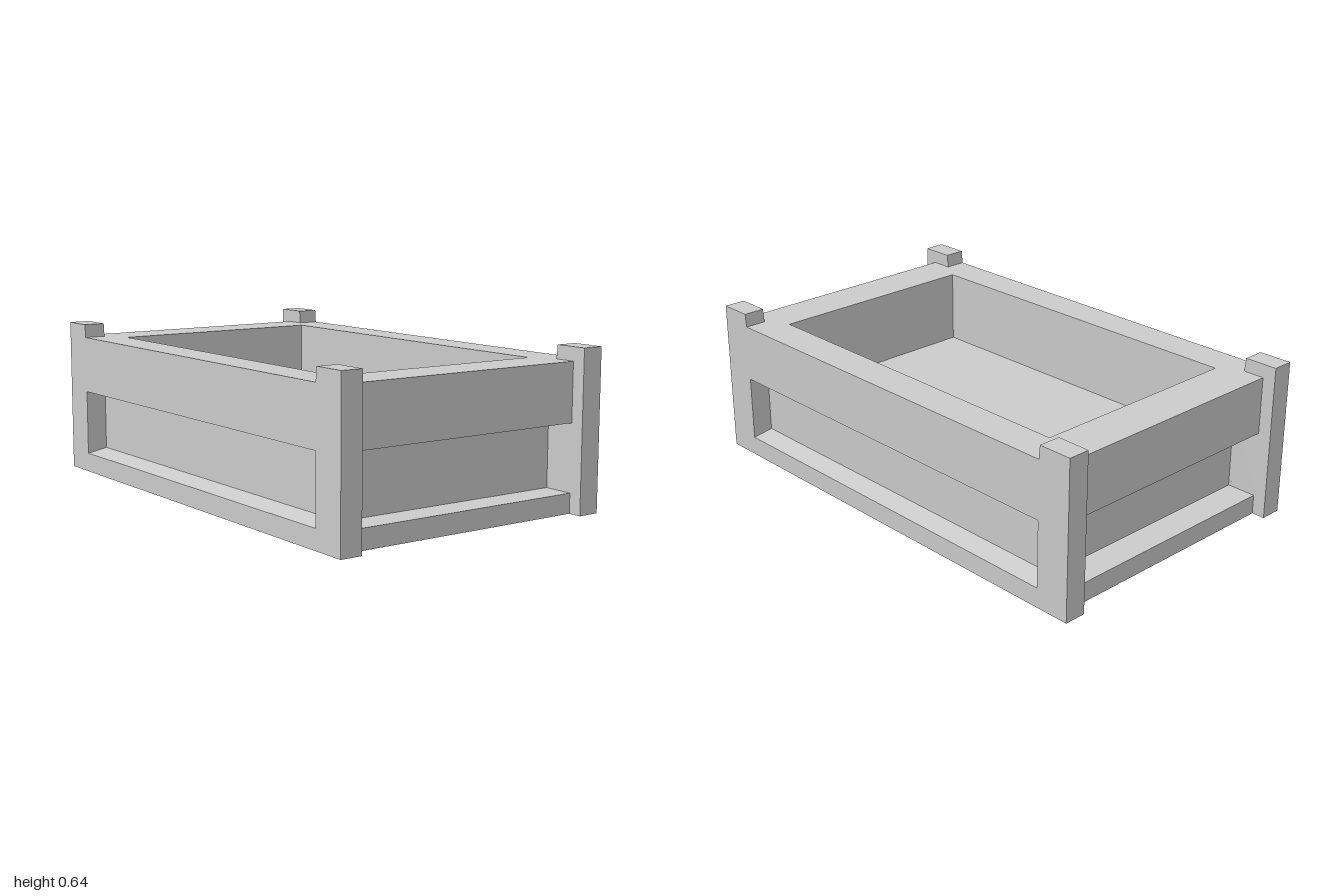
import * as THREE from 'three';

const material = new THREE.MeshStandardMaterial({ color: 0xcccccc, flatShading: true });

function addMesh(parent, name, geometry) {
  const mesh = new THREE.Mesh(geometry, material);
  mesh.name = name;
  parent.add(mesh);
  return mesh;
}

// Box given by its lower and upper corners
function addBox(parent, name, [x0, y0, z0], [x1, y1, z1]) {
  const box = new THREE.BoxGeometry(x1 - x0, y1 - y0, z1 - z0);
  box.translate((x0 + x1) / 2, (y0 + y1) / 2, (z0 + z1) / 2);
  return addMesh(parent, name, box);
}

const rect = (w, h, y = 0) => [[-w, y], [w, y], [w, y + h], [-w, y + h]].map(p => new THREE.Vector2(...p));

// Side board with raised corner posts and a recess that narrows inwards
function sideFrameGeometry() {
  const shape = new THREE.Shape([
    [-1, 0], [1, 0], [1, 0.64], [0.86, 0.64], [0.855, 0.585],
    [-0.855, 0.585], [-0.86, 0.64], [-1, 0.64],
  ].map(p => new THREE.Vector2(...p)));
  shape.holes.push(new THREE.Path(rect(0.855, 0.27, 0.08)));
  const geometry = new THREE.ExtrudeGeometry(shape, { depth: 0.09, bevelEnabled: false });

  // Pull the inner rim of the opening towards its centre
  const pos = geometry.attributes.position;
  for (let i = 0; i < pos.count; i++) {
    const y = pos.getY(i);
    if (pos.getZ(i) < 0.01 && y > 0.05 && y < 0.4) {
      pos.setX(i, pos.getX(i) * 0.845 / 0.855);
      pos.setY(i, 0.215 + (y - 0.215) * 0.115 / 0.135);
    }
  }
  geometry.computeVertexNormals();
  return geometry.translate(0, 0, 0.515);
}

export function createModel() {
  const model = new THREE.Group();
  model.name = 'openBox';

  // Solid base up to the tray floor
  addBox(model, 'base', [-0.515, 0, -0.82], [0.515, 0.28, 0.82]);

  // Walls around the open tray
  const wallShape = new THREE.Shape(rect(0.515, 1.64, -0.82));
  wallShape.holes.push(new THREE.Path(rect(0.457, 1.52, -0.76)));
  const walls = new THREE.ExtrudeGeometry(wallShape, { depth: 0.305, bevelEnabled: false });
  walls.rotateX(-Math.PI / 2).translate(0, 0.28, 0);
  addMesh(model, 'trayWalls', walls);

  // Long sides, with the recessed panel closing each opening
  const frame = sideFrameGeometry();
  for (const [name, turn] of [['left', 1], ['right', -1]]) {
    const side = new THREE.Group();
    side.name = name + 'Side';
    addMesh(side, 'postsAndFrame', frame);
    addBox(side, 'recessedPanel', [-0.85, 0.09, 0.516], [0.85, 0.34, 0.522]);
    side.rotation.y = turn * Math.PI / 2;
    model.add(side);
  }

  // End rails above and below the recesses, set back from the posts
  for (const [name, turn] of [['front', 0], ['back', Math.PI]]) {
    const end = new THREE.Group();
    end.name = name + 'End';
    addBox(end, 'lowerRail', [-0.515, 0, 0.82], [0.515, 0.08, 0.945]);
    addBox(end, 'upperRail', [-0.515, 0.35, 0.82], [0.515, 0.585, 0.945]);
    end.rotation.y = turn;
    model.add(end);
  }
  return model;
}
